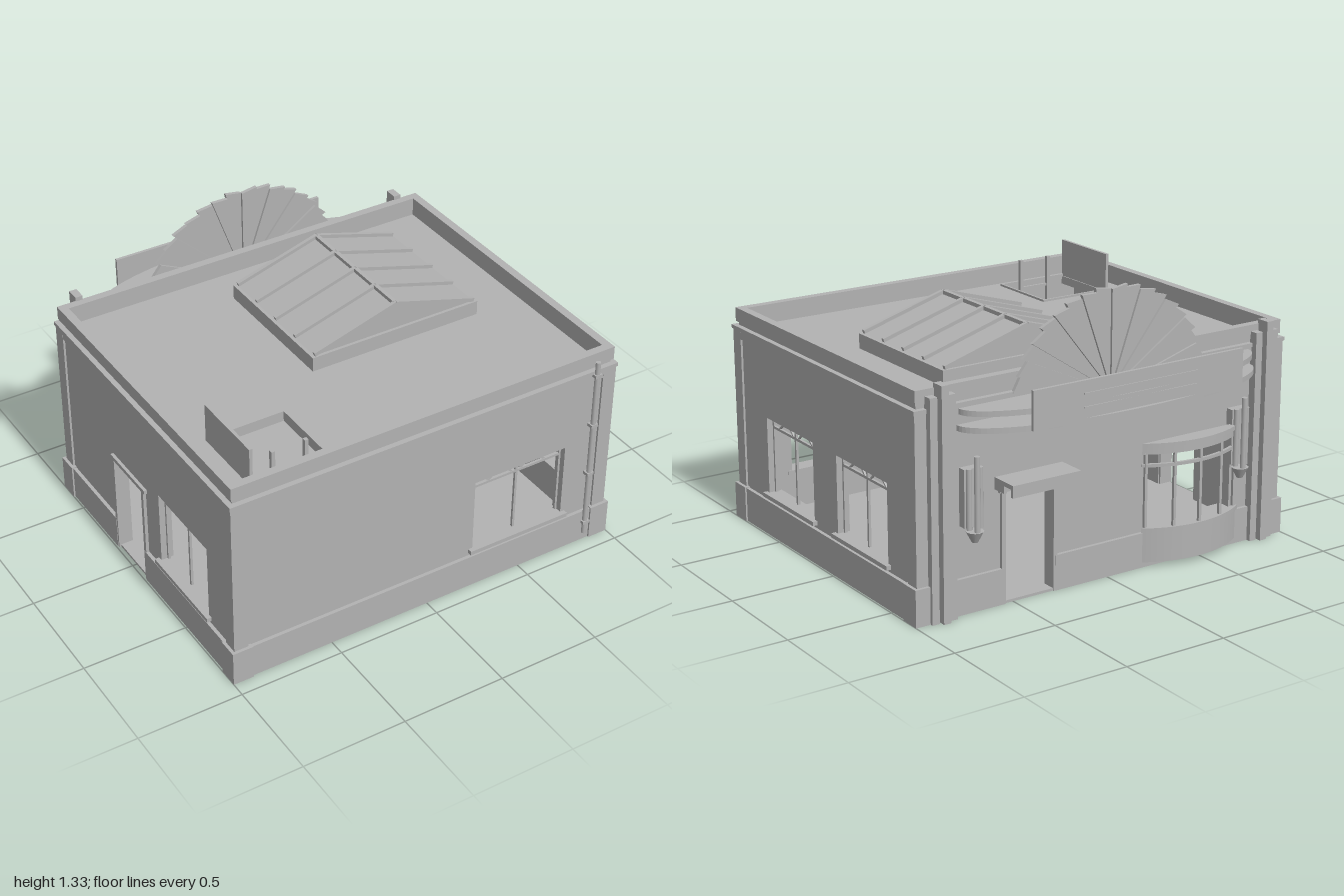
import * as THREE from 'three';

const wallGrey = new THREE.MeshStandardMaterial({ color: 0xb2b2b2, side: THREE.DoubleSide });
wallGrey.name = 'wall grey';

const HX = 1, HZ = 0.815, ZC = 0.115; // plan half sizes and centre of the main block

function add(parent, name, geo) {
  const mesh = new THREE.Mesh(geo, wallGrey);
  mesh.name = name;
  parent.add(mesh);
  return mesh;
}

// Box given by its limits
function box(parent, name, x0, x1, y0, y1, z0, z1) {
  const mesh = add(parent, name, new THREE.BoxGeometry(x1 - x0, y1 - y0, z1 - z0));
  mesh.position.set((x0 + x1) / 2, (y0 + y1) / 2, (z0 + z1) / 2);
  return mesh;
}

function rect(Type, x0, x1, y0, y1) {
  return new Type([[x0, y0], [x1, y0], [x1, y1], [x0, y1]].map(p => new THREE.Vector2(...p)));
}

// Plan outline (shape y = -z) raised from y0 to y1
function slab(parent, name, shape, y0, y1) {
  const geo = new THREE.ExtrudeGeometry(shape, { depth: y1 - y0, bevelEnabled: false, curveSegments: 24 });
  geo.rotateX(-Math.PI / 2).translate(0, y0, 0);
  return add(parent, name, geo);
}

// Rectangular ring around the block, given by insets from the plinth line
function ring(parent, name, out, inn, y0, y1) {
  const s = rect(THREE.Shape, out - HX, HX - out, out - HZ, HZ - out);
  s.holes.push(rect(THREE.Path, inn - HX, HX - inn, inn - HZ, HZ - inn));
  return slab(parent, name, s, y0, y1);
}

// Thin bar between two points in a facade plane
function bar(parent, name, x0, y0, x1, y1, z, t = 0.012) {
  const m = add(parent, name, new THREE.BoxGeometry(Math.hypot(x1 - x0, y1 - y0), t, t));
  m.position.set((x0 + x1) / 2, (y0 + y1) / 2, z);
  m.rotation.z = Math.atan2(y1 - y0, x1 - x0);
}

// Window frame, mullion, transom, braces and sill
function windowFrame(parent, [a, b, y0, y1], d) {
  const g = new THREE.Group();
  g.name = 'window';
  parent.add(g);
  const z = d - 0.06, mid = (a + b) / 2, ty = y1 - 0.048;
  bar(g, 'mullion', mid, y0, mid, y1, z);
  bar(g, 'transom', a, ty, b, ty, z);
  bar(g, 'head', a, y1 - 0.005, b, y1 - 0.005, z);
  for (const x of [a + 0.005, b - 0.005]) bar(g, 'jamb', x, y0, x, y1, z);
  for (const s of [-1, 1]) {
    bar(g, 'brace', mid + s * 0.1, y1, mid + s * 0.16, ty, z, 0.008);
    bar(g, 'brace', mid + s * 0.02, ty, mid + s * 0.07, y1, z, 0.008);
  }
  box(g, 'sill', a - 0.022, b + 0.022, y0 - 0.02, y0, d - 0.09, d - 0.002);
}

// One facade: pierced wall, corner pilasters, header and plinth broken at doors
function facade(block, name, rot, half, dist, openings) {
  const g = new THREE.Group();
  g.name = name;
  g.rotation.y = rot;
  block.add(g);
  const s = rect(THREE.Shape, 0.03 - half, half - 0.03, 0, 0.93);
  for (const o of openings) s.holes.push(rect(THREE.Path, ...o));
  const wall = add(g, 'wall', new THREE.ExtrudeGeometry(s, { depth: 0.06, bevelEnabled: false }));
  wall.position.z = dist - 0.085;
  const doors = openings.filter(o => o[2] < 0.1);
  let start = -half + 0.085;
  for (const [a, b] of [...doors, [half - 0.085, 0]]) {
    box(g, 'plinth', start, a, 0, 0.165, dist - 0.05, dist - 0.008);
    start = b;
  }
  box(g, 'header', -half + 0.05, half - 0.05, 0.89, 0.93, dist - 0.05, dist - 0.016);
  for (const k of [-1, 1]) {
    const c = k * (half - 0.05);
    box(g, 'cornerPilaster', c - 0.035, c + 0.035, 0.165, 0.93, dist - 0.08, dist - 0.015);
    box(g, 'cornerPlinth', c - 0.05, c + 0.05, 0, 0.17, dist - 0.09, dist);
  }
  for (const o of openings) if (o[2] === 0.2) windowFrame(g, o, dist);
  for (const [a, b, , y1] of doors) {
    box(g, 'doorHead', a - 0.02, b + 0.02, y1, y1 + 0.02, dist - 0.08, dist - 0.01);
    for (const x of [a, b]) box(g, 'doorJamb', x - 0.01, x + 0.01, 0, y1, dist - 0.08, dist - 0.01);
  }
}

function buildBlock(root) {
  const block = new THREE.Group();
  block.name = 'mainBlock';
  block.position.z = ZC;
  root.add(block);
  facade(block, 'frontFacade', 0, HX, HZ, [[0.25, 0.74, 0.2, 0.565]]);
  facade(block, 'leftFacade', Math.PI / 2, HZ, HX, [[-0.515, -0.085, 0.2, 0.565], [0.125, 0.555, 0.2, 0.565]]);
  facade(block, 'backFacade', Math.PI, HX, HZ, [[-0.55, -0.28, 0.012, 0.51], [0.22, 0.7, 0.18, 0.55]]);
  facade(block, 'rightFacade', -Math.PI / 2, HZ, HX, [[-0.275, 0.005, 0.012, 0.5], [0.135, 0.565, 0.2, 0.565]]);
  box(block, 'floor', -0.98, 0.98, 0, 0.012, -0.8, 0.8);
  // Roof with hatch opening, cornice bands and parapet
  const roof = rect(THREE.Shape, -0.95, 0.95, -0.77, 0.77);
  roof.holes.push(rect(THREE.Path, -0.82, -0.46, -0.705, -0.345));
  slab(block, 'roof', roof, 0.9, 0.94);
  ring(block, 'corniceBand', 0.01, 0.065, 0.93, 0.948);
  ring(block, 'corniceRecess', 0.035, 0.065, 0.948, 0.965);
  ring(block, 'parapet', 0.025, 0.065, 0.965, 1.03);
}

function buildSkylight(root) {
  const g = new THREE.Group();
  g.name = 'skylight';
  root.add(g);
  const x0 = -0.19, x1 = 0.69, z0 = -0.44, z1 = 0.26, mid = 0.25, eave = 1.01, ridge = 1.135;
  box(g, 'curb', x0, x1, 0.94, eave, z0, z1);
  const tri = new THREE.Shape([[x0 + 0.015, eave], [x1 - 0.015, eave], [mid, ridge]].map(p => new THREE.Vector2(...p)));
  const glass = add(g, 'glazing', new THREE.ExtrudeGeometry(tri, { depth: z1 - z0 - 0.03, bevelEnabled: false }));
  glass.position.z = z0 + 0.015;
  for (let i = 0; i < 5; i++) {
    const z = z0 + 0.015 + i * (z1 - z0 - 0.03) / 4;
    bar(g, 'rafter', x0 + 0.015, eave + 0.008, mid, ridge + 0.008, z, 0.018);
    bar(g, 'rafter', mid, ridge + 0.008, x1 - 0.015, eave + 0.008, z, 0.018);
  }
  box(g, 'ridge', mid - 0.01, mid + 0.01, ridge - 0.01, ridge + 0.015, z0 + 0.01, z1 - 0.01);
}

function buildHatch(root) {
  const g = new THREE.Group();
  g.name = 'roofHatch';
  root.add(g);
  box(g, 'hatchLid', -0.84, -0.825, 0.94, 1.125, 0.455, 0.825);
  box(g, 'hatchRim', -0.83, -0.45, 0.935, 0.95, 0.815, 0.825);
  box(g, 'hatchRim', -0.83, -0.45, 0.935, 0.95, 0.45, 0.46);
  box(g, 'hatchRim', -0.46, -0.45, 0.935, 0.95, 0.45, 0.825);
  for (const x of [-0.72, -0.56]) box(g, 'ladderRail', x - 0.009, x + 0.009, 0.012, 1.06, 0.795, 0.813);
  for (let y = 0.1; y < 0.95; y += 0.09) box(g, 'ladderRung', -0.72, -0.56, y, y + 0.012, 0.798, 0.81);
}

// Fan crest, curved marquee and sign board
function buildMarquee(root) {
  const fan = new THREE.Group();
  fan.name = 'fanCrest';
  root.add(fan);
  const n = 18, from = 0.15, step = (Math.PI - 2 * from) / n;
  for (let i = 0; i < n; i++) {
    const a = from + i * step, b = a + step, rising = i < n / 2;
    const rim = (t, k) => new THREE.Vector2(0.505 * k * Math.cos(t), 0.87 + 0.465 * k * Math.sin(t));
    const s = new THREE.Shape([new THREE.Vector2(0, 0.87), rim(a, rising ? 1.01 : 0.97), rim(b, rising ? 0.97 : 1.01)]);
    const petal = add(fan, 'petal', new THREE.ExtrudeGeometry(s, { depth: 0.018, bevelEnabled: false }));
    petal.position.z = i % 2 ? -0.705 : -0.694;
  }
  for (const [name, a, b, y0, y1] of [['marqueeLower', 0.785, 0.245, 0.83, 0.855], ['marqueeUpper', 0.775, 0.232, 0.9, 0.925]]) {
    const s = new THREE.Shape();
    s.absellipse(0, 0.69, a, b, 0, Math.PI, false, 0);
    slab(root, name, s, y0, y1);
  }
  box(root, 'signBoard', -0.555, 0.555, 0.845, 1.02, -0.917, -0.902);
  for (const y of [0.9, 0.96]) box(root, 'signRail', -0.3, 0.3, y, y + 0.006, -0.922, -0.915);
}

function buildBay(root) {
  const g = new THREE.Group();
  g.name = 'bayWindow';
  root.add(g);
  const cx = -0.46, cy = 0.262, R = 0.506, h = 0.57;
  const segment = r => {
    const s = new THREE.Shape();
    s.absarc(cx, cy, r, Math.PI / 2 - h, Math.PI / 2 + h, false);
    return s;
  };
  const band = r => {
    const s = segment(r);
    s.absarc(cx, cy, r - 0.014, Math.PI / 2 + h, Math.PI / 2 - h, true);
    return s;
  };
  slab(g, 'bayBase', segment(R), 0.025, 0.17);
  slab(g, 'baySill', segment(R + 0.008), 0.17, 0.19);
  slab(g, 'bayTransom', band(R), 0.475, 0.49);
  slab(g, 'bayFrieze', segment(R), 0.535, 0.57);
  slab(g, 'bayCap', segment(R + 0.012), 0.57, 0.59);
  for (let i = 0; i < 5; i++) {
    const t = Math.PI / 2 + (i - 2) * h * 0.47;
    const x = cx + (R - 0.008) * Math.cos(t), z = -cy - (R - 0.008) * Math.sin(t);
    box(g, 'bayMullion', x - 0.007, x + 0.007, 0.19, 0.54, z - 0.007, z + 0.007);
  }
}

// Mirrored fluted pilasters and wall lamps, plus the door canopy
function buildBackDetails(root) {
  for (const s of [-1, 1]) {
    const p = new THREE.Group();
    p.name = s > 0 ? 'leftBackTrim' : 'rightBackTrim';
    root.add(p);
    for (const [d, top, z] of [[-0.045, 1.0, -0.715], [0, 1.05, -0.735], [0.045, 1.0, -0.715]]) {
      const x = s * (0.865 + d);
      box(p, 'flute', x - 0.018, x + 0.018, 0, top, z, -0.67);
    }
    const lx = s * 0.72;
    box(p, 'lampPlate', lx - 0.045, lx + 0.045, 0.4, 0.66, -0.715, -0.67);
    for (const d of [-0.028, 0, 0.028]) {
      const tube = add(p, 'lampTube', new THREE.CylinderGeometry(0.013, 0.013, d ? 0.27 : 0.34, 10));
      tube.position.set(lx + d, d ? 0.53 : 0.55, d ? -0.725 : -0.745);
    }
    const bowl = add(p, 'lampBowl', new THREE.CylinderGeometry(0.04, 0.014, 0.05, 12));
    bowl.position.set(lx, 0.36, -0.725);
  }
  box(root, 'doorCanopy', 0.24, 0.59, 0.565, 0.585, -0.82, -0.68);
  box(root, 'canopyFascia', 0.24, 0.59, 0.53, 0.57, -0.82, -0.803);
  for (const x of [0.24, 0.575]) box(root, 'canopyBracket', x, x + 0.015, 0.53, 0.57, -0.75, -0.68);
}

export function createModel() {
  const root = new THREE.Group();
  root.name = 'cornerShopBuilding';
  buildBlock(root);
  buildSkylight(root);
  buildHatch(root);
  buildMarquee(root);
  buildBay(root);
  buildBackDetails(root);
  // Drain pipe with collars
  const pipe = add(root, 'drainPipe', new THREE.CylinderGeometry(0.012, 0.012, 0.955, 10));
  pipe.position.set(0.87, 0.52, 0.928);
  for (const y of [0.1, 0.38, 0.65, 0.92]) box(root, 'pipeCollar', 0.852, 0.888, y, y + 0.015, 0.91, 0.942);
  // Furniture inside
  box(root, 'cabinet', 0.56, 0.76, 0.012, 0.5, -0.4, -0.14);
  for (let i = 0; i < 4; i++) box(root, 'seat', 0.285 + i * 0.085, 0.36 + i * 0.085, 0.012, 0.3, 0.03, 0.15);
  return root;
}
